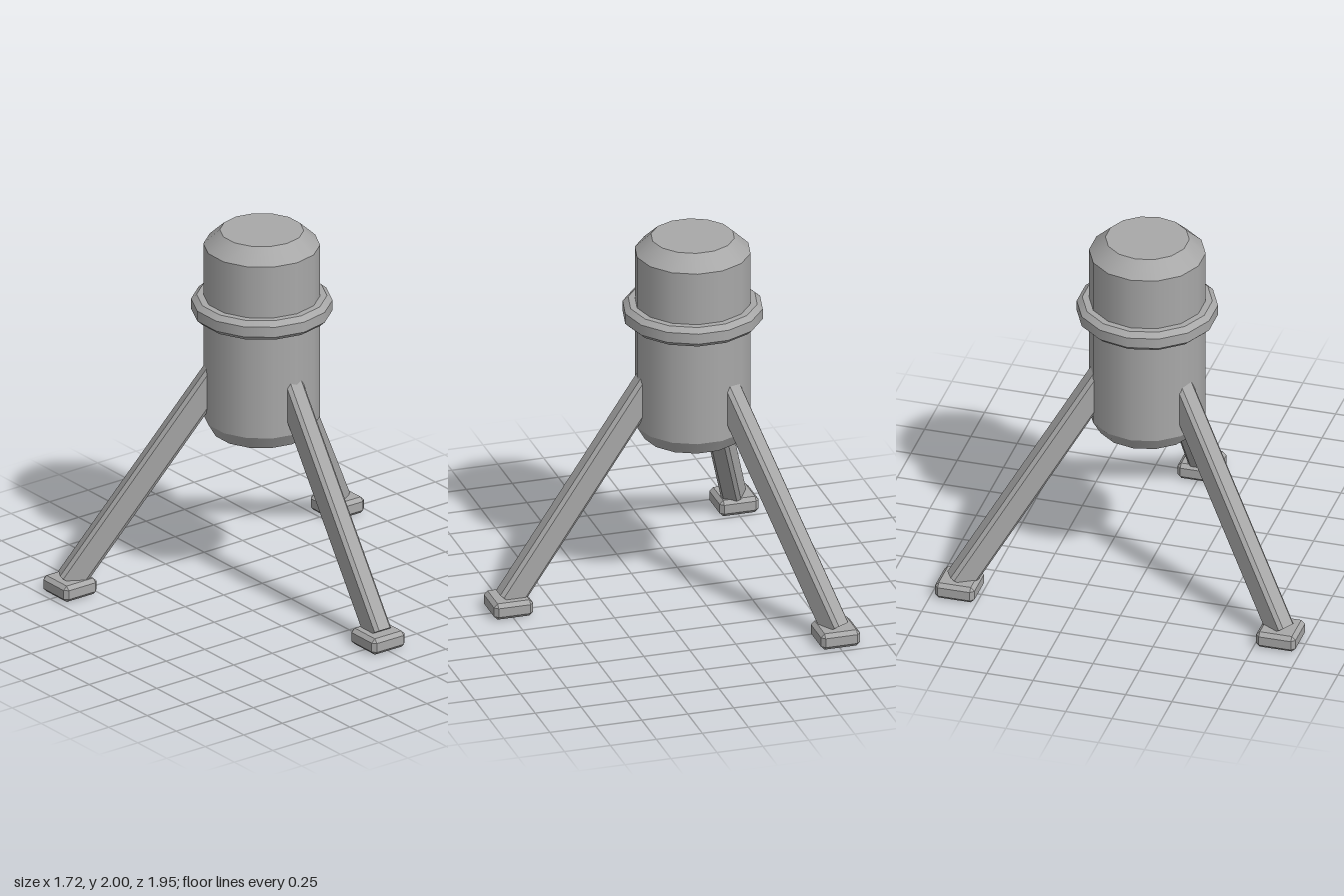
import * as THREE from 'three';
import { ConvexGeometry } from 'three/addons/geometries/ConvexGeometry.js';

const SIDES = 14;
const grey = new THREE.MeshStandardMaterial({ color: 0xa8a8a8 });
grey.name = 'grey';

function part(name, geometry) {
  const mesh = new THREE.Mesh(geometry, grey);
  mesh.name = name;
  return mesh;
}

// Stack of coaxial bands from [radius, y] rings, crisp between bands, with flat caps
function turned(name, rings) {
  const group = new THREE.Group();
  group.name = name;
  for (let i = 0; i < rings.length - 1; i++) {
    const [r0, y0] = rings[i], [r1, y1] = rings[i + 1];
    const band = part(name + 'Band', new THREE.CylinderGeometry(r1, r0, y1 - y0, SIDES, 1, true, Math.PI / 2));
    band.position.y = (y0 + y1) / 2;
    group.add(band);
  }
  for (const [ring, side] of [[rings[0], 1], [rings[rings.length - 1], -1]]) {
    const cap = part(name + 'Cap', new THREE.CircleGeometry(ring[0], SIDES));
    cap.rotation.x = side * Math.PI / 2;
    cap.position.y = ring[1];
    group.add(cap);
  }
  return group;
}

// Box with every edge chamfered by c
function chamferBox(w, h, d, c) {
  const points = [];
  for (const sx of [-1, 1]) for (const sy of [-1, 1]) for (const sz of [-1, 1]) {
    for (let axis = 0; axis < 3; axis++) {
      const p = [w, h, d].map((s, i) => s / 2 - (i === axis ? 0 : c));
      points.push(new THREE.Vector3(sx * p[0], sy * p[1], sz * p[2]));
    }
  }
  return new ConvexGeometry(points);
}

// Beam section with chamfered corners
function legSection(w, h, c) {
  const x = w / 2, y = h / 2;
  return new THREE.Shape([
    [x - c, -y], [x, c - y], [x, y - c], [x - c, y],
    [c - x, y], [-x, y - c], [-x, c - y], [c - x, -y],
  ].map(([a, b]) => new THREE.Vector2(a, b)));
}

export function createModel() {
  const model = new THREE.Group();
  model.name = 'tripodCanister';
  const centre = new THREE.Group();
  centre.name = 'canisterAndLegs';
  centre.position.x = -0.254;
  model.add(centre);

  // Canister and its collar
  centre.add(turned('body', [[0.26, 0.877], [0.303, 0.95], [0.303, 1.92], [0.218, 2]]));
  centre.add(turned('collar', [[0.34, 1.525], [0.367, 1.55], [0.367, 1.607], [0.338, 1.632]]));

  // Three splayed legs, each ending in a square foot aligned with the axes
  const legGeometry = new THREE.ExtrudeGeometry(legSection(0.106, 0.14, 0.018), { depth: 1.45, bevelEnabled: false });
  const along = new THREE.Vector3(-0.56, 0.83, 0).normalize();
  const across = new THREE.Vector3(0, 0, 1);
  const outward = new THREE.Vector3().crossVectors(along, across);
  const basis = new THREE.Matrix4().makeBasis(across, outward, along).setPosition(1.0, 0.071, 0);
  legGeometry.applyMatrix4(basis);
  const footGeometry = chamferBox(0.213, 0.09, 0.213, 0.02);

  for (let i = 0; i < 3; i++) {
    const angle = i * Math.PI * 2 / 3;
    const leg = part('leg', legGeometry);
    leg.rotation.y = -angle;
    const foot = part('foot', footGeometry);
    foot.position.set(1.002 * Math.cos(angle), 0.045, 1.002 * Math.sin(angle));
    centre.add(leg, foot);
  }
  return model;
}
